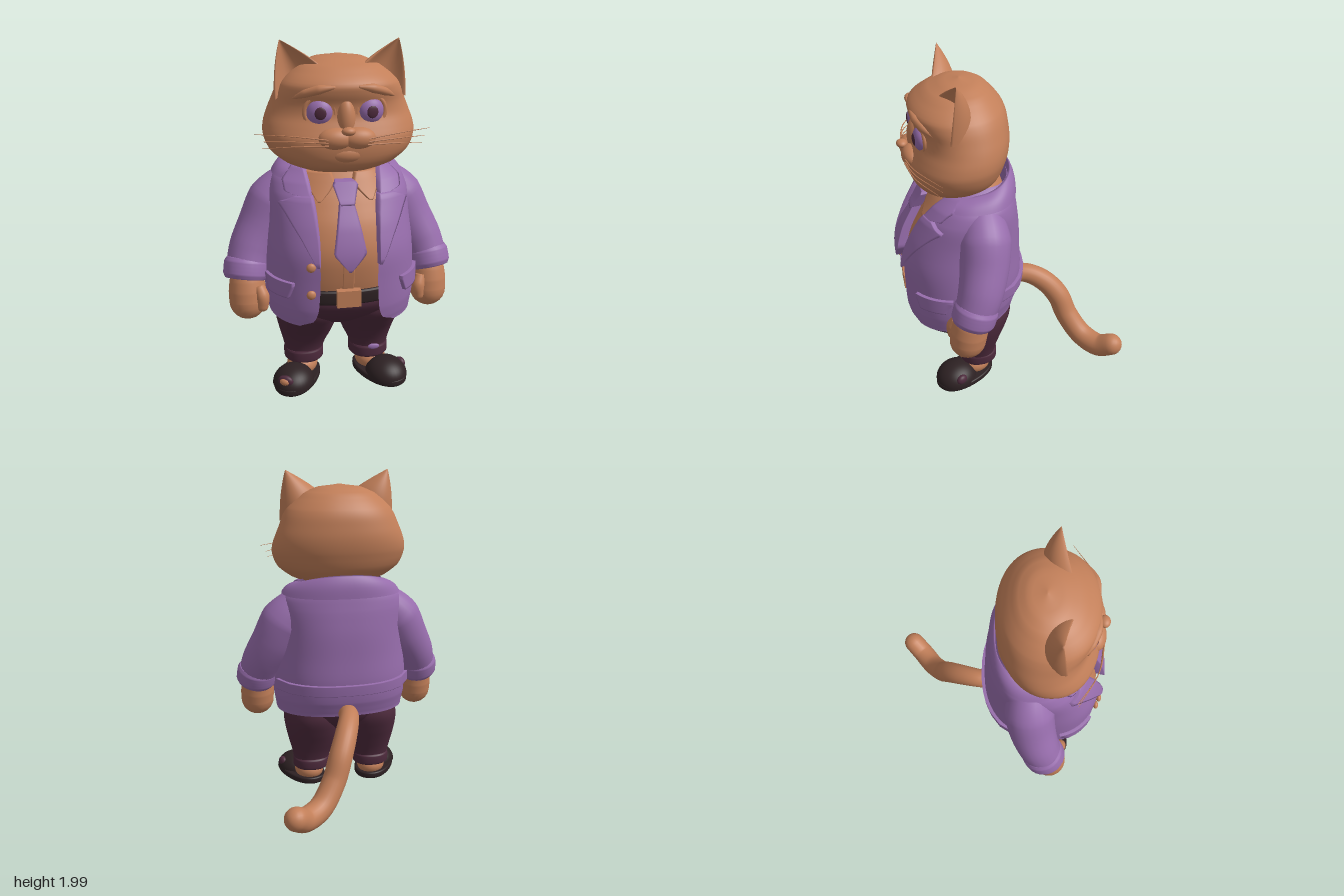
import * as THREE from 'three';
import { mergeVertices } from 'three/addons/utils/BufferGeometryUtils.js';

const mat = (name, color) => new THREE.MeshStandardMaterial({ name, color, side: THREE.DoubleSide });
const fur = mat('ginger fur', 0xc27f59);
const purple = mat('purple cloth', 0x976dac);
const plum = mat('plum cloth', 0x4d2a3c);
const dark = mat('dark leather', 0x2d2123);

const { lerp, clamp } = THREE.MathUtils;
const spow = (v, p) => Math.sign(v) * Math.abs(v) ** p;

// Grid surface from a rule giving a point for column i and row j
function grid(nu, nv, fn) {
  const pos = [], idx = [];
  for (let j = 0; j <= nv; j++) for (let i = 0; i <= nu; i++) pos.push(...fn(i, j));
  for (let j = 0; j < nv; j++) for (let i = 0; i < nu; i++) {
    const a = j * (nu + 1) + i, c = a + nu + 1;
    idx.push(a, a + 1, c, a + 1, c + 1, c);
  }
  let g = new THREE.BufferGeometry();
  g.setAttribute('position', new THREE.Float32BufferAttribute(pos, 3));
  g.setIndex(idx);
  g = mergeVertices(g, 1e-5);
  g.computeVertexNormals();
  return g;
}

// Rings are [y, half width, back z, front z, centre x, opening]; smooth between them
function ringAt(rings, f) {
  const n = rings.length - 1, i = Math.min(Math.floor(f), n - 1), t = f - i;
  const [a, b, c, d] = [i - 1, i, i + 1, i + 2].map(k => rings[clamp(k, 0, n)]);
  return b.map((v, k) => {
    if (k === 0) return lerp(v, c[0], t);
    const m0 = (c[k] - a[k]) / 2, m1 = (d[k] - v) / 2, t2 = t * t, t3 = t2 * t;
    return (2 * t3 - 3 * t2 + 1) * v + (t3 - 2 * t2 + t) * m0 + (3 * t2 - 2 * t3) * c[k] + (t3 - t2) * m1;
  });
}
function ringAtY(rings, y) {
  let i = 0;
  while (i < rings.length - 2 && rings[i + 1][0] < y) i++;
  return ringAt(rings, i + clamp((y - rings[i][0]) / (rings[i + 1][0] - rings[i][0]), 0, 1));
}
// Point on a ring; the angle starts at the front and turns to +x
function onRing([y, rx, zb, zf, cx = 0], p, th, off = 0, k = 1) {
  return [cx + k * (rx + off) * spow(Math.sin(th), p), y,
    (zb + zf) / 2 + k * ((zf - zb) / 2 + off) * spow(Math.cos(th), p)];
}
const angleAt = (r, p, x) => Math.sign(x) * Math.asin(Math.min(1, Math.abs(x) / r[1]) ** (1 / p));
function surfacePoint(rings, p, x, y, off = 0) {
  const r = ringAtY(rings, y);
  return onRing(r, p, angleAt(r, p, x), off);
}
function loft(rings, p = 0.9, n = 48) {
  const nv = (rings.length - 1) * 4;
  return grid(n, nv + 2, (i, j) => onRing(ringAt(rings, clamp(j - 1, 0, nv) / 4), p,
    i / n * Math.PI * 2, 0, j === 0 || j === nv + 2 ? 0 : 1));
}
// Thin cloth piece lying on a loft; rows are [y, x from, x to]
function drape(rings, p, rows, off, back = false) {
  const nu = 12, nv = 20;
  return grid(nu + 2, nv + 2, (i, j) => {
    const edge = i === 0 || j === 0 || i === nu + 2 || j === nv + 2;
    const f = clamp((j - 1) / nv, 0, 1) * (rows.length - 1), k = Math.min(Math.floor(f), rows.length - 2);
    const [y, x0, x1] = rows[k].map((v, m) => lerp(v, rows[k + 1][m], f - k));
    const r = ringAtY(rings, y), th = angleAt(r, p, lerp(x0, x1, clamp((i - 1) / nu, 0, 1)));
    return onRing(r, p, back ? Math.PI - th : th, edge ? -0.008 : off);
  });
}
// Tube of changing radius; the far end is flat, or rounded when dome is 1
function limb(points, radii, dome = 0, n = 24, nv = 32) {
  const curve = new THREE.CatmullRomCurve3(points.map(q => new THREE.Vector3(...q)));
  const fr = curve.computeFrenetFrames(nv, false);
  return grid(n, nv + 7, (i, j) => {
    const row = clamp(j - 1, 0, nv), u = row / nv, a = i / n * Math.PI * 2;
    const f = u * (radii.length - 1), k = Math.min(Math.floor(f), radii.length - 2);
    const cap = Math.max(0, j - 1 - nv) / 6 * Math.PI / 2, r = lerp(radii[k], radii[k + 1], f - k);
    const rr = j === 0 ? 0 : r * Math.cos(cap);
    return curve.getPointAt(u).addScaledVector(fr.normals[row], rr * Math.cos(a))
      .addScaledVector(fr.binormals[row], rr * Math.sin(a))
      .addScaledVector(fr.tangents[row], dome * r * Math.sin(cap)).toArray();
  });
}

const HEAD = [[1.3, .05, .25, .38], [1.32, .2, .16, .46], [1.36, .3, .09, .525], [1.42, .375, .04, .55],
  [1.5, .408, .01, .555], [1.56, .405, -.005, .53], [1.62, .385, -.01, .504], [1.68, .36, -.005, .503],
  [1.74, .335, .005, .522], [1.79, .3, .03, .517], [1.86, .215, .09, .43], [1.895, .13, .15, .34], [1.912, .01, .24, .25]];
const JACKET = [[.49, .405, -.03, .625, 0, .26], [.53, .41, -.04, .635, 0, .19], [.6, .42, -.06, .645, 0, .165],
  [.75, .42, -.075, .645, 0, .155], [.9, .41, -.07, .64, 0, .155], [1.05, .395, -.065, .59, 0, .16],
  [1.18, .39, -.05, .52, 0, .175], [1.26, .36, -.035, .455, 0, .19], [1.32, .285, -.02, .4, 0, .2], [1.36, .24, 0, .35, 0, .2]];
const SHIRT = [[.6, .36, 0, .57], [.75, .37, 0, .6], [.9, .36, 0, .61], [1.05, .34, 0, .565],
  [1.18, .3, 0, .49], [1.27, .25, .02, .43], [1.36, .18, .05, .38]];
const HP = 0.92, JP = 0.85, SP = 0.85;

export function createModel() {
  const model = new THREE.Group();
  model.name = 'catInSuit';
  const add = (name, geo, m, parent = model) => {
    const mesh = new THREE.Mesh(geo, m);
    mesh.name = name;
    parent.add(mesh);
    return mesh;
  };
  const ball = (name, m, at, size, parent = model) => {
    const mesh = add(name, new THREE.SphereGeometry(1, 28, 20), m, parent);
    mesh.position.set(...at);
    mesh.scale.set(...size);
    return mesh;
  };

  // Head and muzzle
  add('head', loft(HEAD, HP, 64), fur);
  ball('nose', fur, [0, 1.562, .57], [.036, .022, .03]);
  ball('noseBridge', fur, [0, 1.6, .48], [.052, .12, .06]);
  ball('chin', fur, [0, 1.435, .495], [.12, .06, .065]);

  // Shirt, tie and belt
  add('shirt', loft(SHIRT, SP), fur);
  add('shirtPlacket', drape(SHIRT, SP, [[.64, -.03, .03], [1.25, -.03, .03]], .006), fur);
  add('tie', drape(SHIRT, SP, [[.83, -.004, .004], [.93, -.077, .077], [1.06, -.055, .055], [1.19, -.03, .03]], .052), purple);
  add('tieKnot', drape(SHIRT, SP, [[1.165, -.032, .032], [1.26, -.055, .055], [1.275, -.045, .045]], .062), purple);
  add('belt', loft([[.613, .375, -.015, .595], [.623, .385, -.02, .605], [.685, .385, -.02, .605], [.695, .375, -.015, .595]], SP), dark);
  add('beltBuckle', new THREE.BoxGeometry(.13, .095, .04), fur).position.set(0, .662, .612);

  // Jacket, open at the front, with a lower front hem
  const rows = (JACKET.length - 1) * 4;
  add('jacket', grid(72, rows, (i, j) => {
    const r = ringAt(JACKET, j / 4), t0 = angleAt(r, JP, r[5]);
    const th = lerp(t0, Math.PI * 2 - t0, i / 72), q = onRing(r, JP, th);
    q[1] += .04 * (1 - Math.cos(th)) / 2 * Math.max(0, 1 - (q[1] - .49) / .3);
    return q;
  }), purple);
  add('backBelt', drape(JACKET, JP, [[.68, -.4, .4], [.745, -.4, .4]], .02, true), purple);
  // Folded collar, high at the nape
  add('jacketCollar', grid(48, 12, (i, j) => {
    const th = lerp(1.05, Math.PI * 2 - 1.05, i / 48), h = ((1 - Math.cos(th)) / 2) ** 2;
    const inner = onRing(ringAtY(JACKET, 1.31), JP, th, -.02);
    const top = onRing([1.315 + .095 * h, .265, -.012, .4], JP, th);
    const outer = onRing(ringAtY(JACKET, 1.27), JP, th, .014);
    const v = j / 12, [a, b, t] = v < .35 ? [inner, top, v / .35] : [top, outer, (v - .35) / .65];
    const bulge = j > 4 ? .01 * Math.sin(t * Math.PI) : 0;
    return [lerp(a[0], b[0], t) + bulge * Math.sin(th), lerp(a[1], b[1], t) + bulge, lerp(a[2], b[2], t) + bulge * Math.cos(th)];
  }), purple);
  for (const y of [.855, .7]) ball('jacketButton', fur, surfacePoint(JACKET, JP, -.2, y, .008), [.025, .025, .016]);

  // Trouser seat and tail
  add('trouserSeat', loft([[.37, .05, .14, .34], [.41, .16, .07, .41], [.48, .34, .015, .5], [.56, .375, -.01, .56], [.62, .365, 0, .57]]), plum);
  const tail = [[0, .54, .02], [.01, .56, -.12], [.05, .51, -.24], [.1, .41, -.33], [.15, .28, -.38], [.24, .165, -.46], [.34, .145, -.54], [.398, .19, -.602]];
  add('tail', limb(tail, [.055, .06, .066, .07, .07, .07, .071, .068], 1, 24, 48), fur);

  for (const s of [1, -1]) {
    const side = new THREE.Group();
    side.name = s > 0 ? 'leftSide' : 'rightSide';
    side.scale.x = s;
    model.add(side);

    // Ear: hollow in front, rounded behind
    const outer = [.35, 1.69], inner = [.09, 1.84], tip = [.314, 1.992];
    add('ear', grid(32, 18, (i, j) => {
      const t = j / 18, a = i / 32 * Math.PI * 2, w = Math.max(0, 1 - t ** 2.3), c = Math.cos(a), n = Math.sin(a);
      const x0 = lerp(tip[0], outer[0], w), y0 = lerp(outer[1], tip[1], t);
      const x1 = lerp(tip[0], inner[0], Math.max(0, 1 - t ** 1.3)), y1 = lerp(inner[1], tip[1], t);
      const d = .13 * Math.max(0, 1 - t ** 1.6), z = n > 0 ? d * (.6 * n - 1.1 * n * n) : d * n, k = (1 - c) / 2;
      return [lerp(x0, x1, k), lerp(y0, y1, k), lerp(.345 + .03 * k, .31, t) + z];
    }), fur, side);

    // Eye, lids and brow
    const eye = new THREE.Group();
    eye.name = 'eye';
    eye.position.set(.132, 1.645, .474);
    eye.rotation.y = .15;
    side.add(eye);
    ball('eyeball', purple, [0, 0, 0], [.069, .069, .046], eye);
    ball('pupil', plum, [-.004, 0, .041], [.03, .032, .008], eye);
    add('eyelids', new THREE.TorusGeometry(.077, .013, 10, 36), fur, eye).position.z = .002;
    const browPts = [[.06, 1.775], [.13, 1.765], [.21, 1.74], [.27, 1.71]].map(([x, y]) => surfacePoint(HEAD, HP, x, y, -.006));
    add('brow', limb(browPts, [.008, .024, .022, .006], 0, 12), fur, side);

    // Muzzle pad and whiskers
    ball('muzzlePad', fur, [.056, 1.515, .522], [.095, .058, .06], side);
    for (const [y0, x, y, z] of [[1.52, .465, 1.53, .42], [1.505, .44, 1.49, .42], [1.49, .425, 1.455, .43]])
      add('whisker', limb([[.1, y0, .57], [.27, (y0 + y) / 2 + .012, .535], [x, y, z]], [.004, .003, .001], 0, 6, 14), fur, side);

    // Shirt collar, lapel and pocket flap
    add('shirtCollar', drape(SHIRT, SP, [[1.17, .125, .135], [1.22, .075, .165], [1.26, .045, .185], [1.31, .06, .19]], .025), fur, side);
    add('lapel', drape(JACKET, JP, [[.86, .153, .165], [1, .153, .235], [1.12, .16, .305], [1.165, .165, .335], [1.205, .172, .25]], .022), purple, side);
    add('collarFlap', drape(JACKET, JP, [[1.195, .178, .2], [1.22, .178, .3], [1.27, .185, .305], [1.33, .195, .245]], .02), purple, side);
    add('pocketFlap', drape(JACKET, JP, [[.665, .31, .4], [.735, .285, .41], [.755, .285, .41]], .018), purple, side);

    // Sleeve, cuff and mitten-like paw
    add('sleeve', limb([[.26, 1.2, .185], [.35, 1.105, .19], [.42, .97, .21], [.49, .84, .25], [.53, .72, .3]], [.115, .145, .138, .127, .112]), purple, side);
    add('sleeveCuff', limb([[.518, .79, .272], [.535, .68, .31]], [.112, .125, .126, .126, .125, .112], 0, 28, 20), purple, side);
    add('paw', limb([[.525, .73, .3], [.525, .64, .32], [.525, .555, .335]], [.085, .098, .105, .104], 1), fur, side);
    add('thumb', limb([[.465, .66, .38], [.445, .6, .405], [.448, .55, .405]], [.03, .038, .034], 1, 16, 12), fur, side);

    // Trouser leg and turn-up
    add('trouserLeg', loft([[.13, .107, .12, .32, .197], [.2, .12, .11, .325, .195], [.3, .155, .075, .37, .185], [.4, .178, .035, .44, .183], [.48, .18, .012, .495, .183], [.56, .16, .02, .5, .18]]), plum, side);
    add('trouserTurnUp', loft([[.11, .108, .115, .325, .197], [.12, .117, .105, .332, .197], [.17, .117, .105, .332, .197], [.182, .112, .115, .326, .197]]), plum, side);

    // Slip-on shoe turned outward, with the bare foot inside
    const foot = new THREE.Group();
    foot.name = 'foot';
    foot.position.set(.2, 0, .225);
    foot.rotation.y = .48;
    side.add(foot);
    add('sole', loft([[0, .112, -.085, .295], [.01, .12, -.092, .302], [.035, .12, -.092, .302], [.042, .114, -.086, .297]]), dark, foot);
    const toe = add('shoeUpper', new THREE.SphereGeometry(1, 32, 14, 0, Math.PI * 2, 0, Math.PI / 2), dark, foot);
    toe.position.set(0, .03, .17);
    toe.scale.set(.12, .098, .13);
    ball('barefoot', fur, [0, .07, .02], [.09, .07, .1], foot);
    // Worn spots on the upper
    if (s > 0) ball('shoeSpot', plum, [.09, .076, .195], [.024, .032, .036], foot);
    else {
      ball('shoeSpot', plum, [.01, .085, .27], [.046, .034, .022], foot);
      ball('shoeHole', fur, [.012, .085, .277], [.032, .024, .022], foot);
    }
  }
  ball('trouserPatch', purple, [.21, .184, .33], [.035, .018, .01]);
  return model;
}
